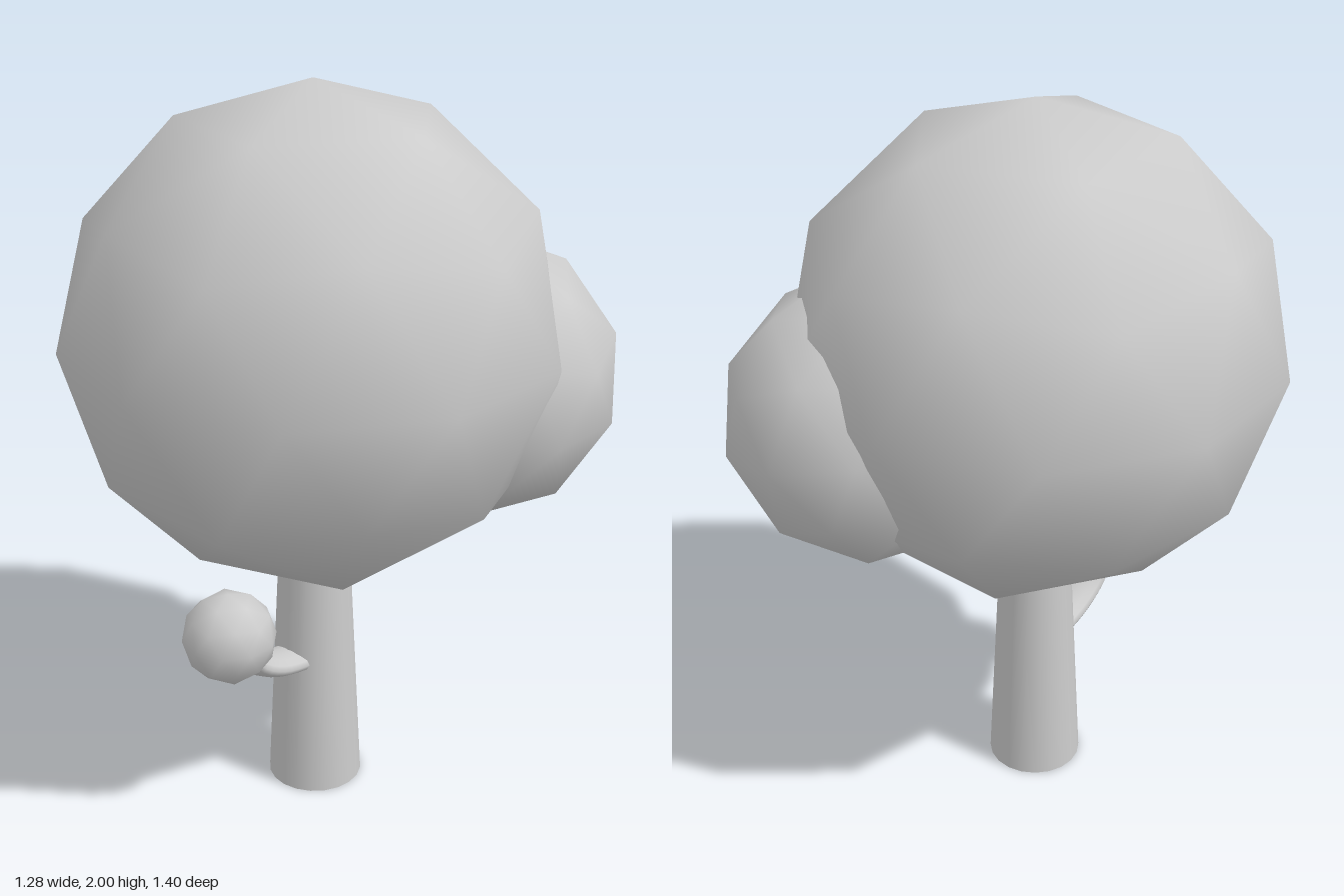
import * as THREE from 'three';

const material = new THREE.MeshStandardMaterial({ color: 0xcccccc });
const CX = -0.01, CZ = 0.033; // trunk axis

function part(name, geometry, x, y, z) {
  const mesh = new THREE.Mesh(geometry, material);
  mesh.name = name;
  mesh.position.set(x, y, z);
  return mesh;
}

// Coarse smooth-shaded ball with a corner at its top, leaning about z by tilt
function foliage(name, radius, x, y, z, tilt = 0) {
  const pole = Math.atan(2 / (1 + Math.sqrt(5)));
  const geometry = new THREE.IcosahedronGeometry(radius, 1).rotateZ(tilt - pole);
  return part(name, geometry, x, y, z);
}

export function createModel() {
  const tree = new THREE.Group();
  tree.name = 'tree';

  // Tapered trunk, running up into the crown
  tree.add(part('trunk', new THREE.CylinderGeometry(0.088, 0.133, 0.95, 20), CX, 0.475, CZ));

  // Leaf masses
  tree.add(foliage('crown', 0.665, CX, 1.335, CZ));
  tree.add(foliage('sideFoliage', 0.384, 0.265, 1.2, -0.315, THREE.MathUtils.degToRad(-13.3)));
  tree.add(foliage('twigFoliage', 0.127, CX, 0.58, 0.37));

  // Flattened branch curving forward and up to the small leaf ball
  const path = new THREE.CatmullRomCurve3([
    [0.03, 0.4], [0.13, 0.406], [0.22, 0.428], [0.3, 0.475], [0.36, 0.56],
  ].map(([z, y]) => new THREE.Vector3(0, y, z)));
  const branch = part('branch', new THREE.TubeGeometry(path, 14, 0.031, 14), CX, 0, 0);
  branch.scale.x = 2.1;
  tree.add(branch);

  return tree;
}
